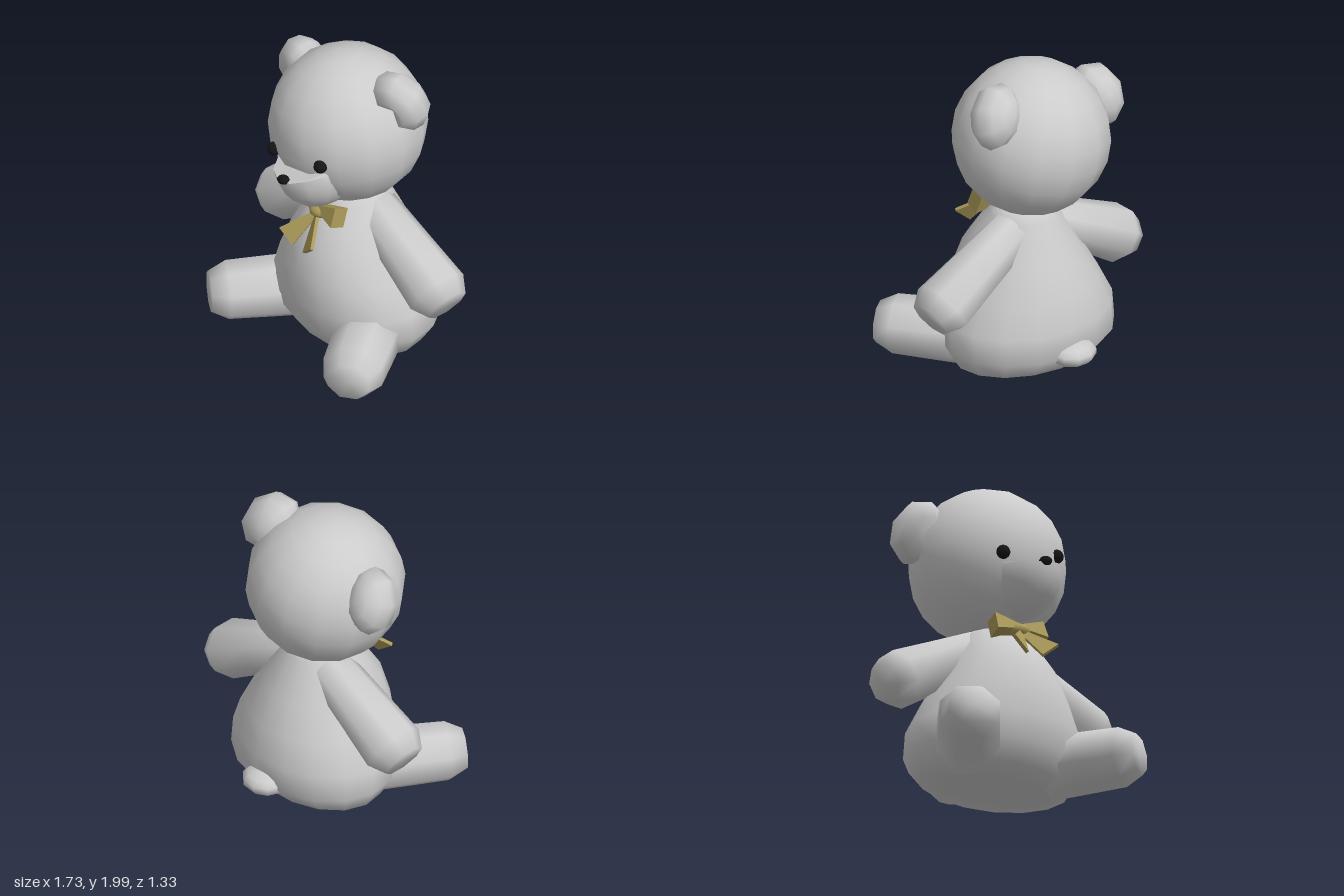
import * as THREE from 'three';
import { mergeVertices, toCreasedNormals } from 'three/addons/utils/BufferGeometryUtils.js';

const grey = new THREE.MeshStandardMaterial({ color: 0xcccccc });
const black = new THREE.MeshStandardMaterial({ color: 0x151515 });
const gold = new THREE.MeshStandardMaterial({ color: 0xa89858 });
const V = (x, y, z) => new THREE.Vector3(x, y, z);

function add(parent, name, geometry, material, position = [0, 0, 0]) {
  const mesh = new THREE.Mesh(geometry, material);
  mesh.name = name;
  mesh.position.set(...position);
  parent.add(mesh);
  return mesh;
}

// Move every vertex by a rule, then weld seams and smooth the normals
function reshape(geometry, rule) {
  const p = geometry.attributes.position, v = V(0, 0, 0);
  for (let i = 0; i < p.count; i++) {
    v.fromBufferAttribute(p, i);
    rule(v, i);
    p.setXYZ(i, v.x, v.y, v.z);
  }
  geometry.deleteAttribute('normal');
  geometry.deleteAttribute('uv');
  const welded = mergeVertices(geometry, 1e-4);
  welded.computeVertexNormals();
  return welded;
}

// Pear-shaped torso: height, half width, front z, back z
function bodyGeometry() {
  const rings = [
    [0, 0, -0.1, -0.1], [0, 0.36, 0.12, -0.24], [0.05, 0.5, 0.26, -0.47],
    [0.18, 0.575, 0.35, -0.58], [0.35, 0.57, 0.38, -0.57], [0.55, 0.47, 0.37, -0.525],
    [0.75, 0.365, 0.32, -0.43], [0.9, 0.28, 0.22, -0.36], [1.0, 0.22, 0.12, -0.31],
    [1.06, 0.17, 0.06, -0.28], [1.06, 0, -0.1, -0.1],
  ];
  const lathe = new THREE.LatheGeometry(rings.map(([y, w]) => new THREE.Vector2(w, y)), 16);
  return reshape(lathe, (v, i) => {
    const [, w, front, back] = rings[i % rings.length];
    v.z = (front + back) / 2 + (w ? (v.z / w) * (front - back) / 2 : 0);
  });
}

// Eight-sided limb with a bevelled, blunt end
function limb(parent, name, from, to, r0, r1, rEnd) {
  const dir = to.clone().sub(from), len = dir.length();
  dir.normalize();
  const profile = [[0, 0], [r0, 0], [(r0 + r1) / 2, len * 0.45], [r1, len - 0.11], [rEnd, len], [0, len]];
  const lathe = new THREE.LatheGeometry(profile.map(([r, y]) => new THREE.Vector2(r, y)), 8, Math.PI / 8);
  // Basis: y along the limb, x horizontal, z the slightly flattened side
  const side = V(0, 1, 0).cross(dir).normalize();
  const basis = new THREE.Matrix4().makeBasis(side, dir, side.clone().cross(dir));
  add(parent, name, reshape(lathe, (v) => {
    v.z *= 0.92;
    v.applyMatrix4(basis).add(from);
  }), grey);
}

// Box that widens along +x from its start at the origin
function taperedBox(length, h0, h1, depth) {
  const g = new THREE.BoxGeometry(length, 1, depth).translate(length / 2, 0, 0);
  return toCreasedNormals(reshape(g, (v) => {
    v.y *= THREE.MathUtils.lerp(h0, h1, v.x / length);
  }), 0.3);
}

function makeHead() {
  const head = new THREE.Group();
  head.name = 'head';
  head.position.set(-0.06, 1.49, -0.075);
  head.rotation.set(0, 0.13, 0.2, 'ZYX');
  add(head, 'skull', reshape(new THREE.SphereGeometry(0.495, 14, 11), () => {}), grey);

  // Bowl-shaped muzzle with a flat top that slopes forward and a chin that runs into the skull
  const muzzle = new THREE.SphereGeometry(1, 14, 12).scale(0.245, 0.295, 0.3);
  add(head, 'muzzle', toCreasedNormals(reshape(muzzle, (v) => {
    v.y = Math.min(v.y, 0.06 - 0.3 * v.z);
  }), 0.7), grey, [0, -0.145, 0.28]);
  add(head, 'nose', new THREE.SphereGeometry(1, 10, 8).scale(0.045, 0.03, 0.035), black, [-0.01, -0.165, 0.565]);

  for (const s of [1, -1]) {
    add(head, s > 0 ? 'leftEye' : 'rightEye', new THREE.SphereGeometry(0.044, 12, 8), black, [s * 0.21 - 0.01, -0.07, 0.432]);

    // Thick ear: x points away from the skull, front is slightly dented
    const ear = new THREE.SphereGeometry(1, 8, 6).rotateX(Math.PI / 2).scale(0.175, 0.215, 0.15);
    const geometry = reshape(ear, (v) => {
      if (v.z > 0.14) v.z = 0.09;
    });
    const mesh = add(head, s > 0 ? 'leftEar' : 'rightEar', geometry, grey, [s * 0.435, 0.235, -0.075]);
    const lift = 0.45;
    mesh.rotation.set(s * 0.4, 0, s > 0 ? lift : Math.PI - lift, 'ZYX');
  }
  return head;
}

function makeBow() {
  const bow = new THREE.Group();
  bow.name = 'bow';
  bow.position.set(0.015, 0.975, 0.19);
  add(bow, 'knot', new THREE.SphereGeometry(1, 10, 8).scale(0.07, 0.045, 0.06), gold, [0, 0, 0.01]);
  for (const s of [1, -1]) {
    const loop = add(bow, s > 0 ? 'leftLoop' : 'rightLoop', taperedBox(0.175, 0.03, 0.13, 0.1), gold, [0, 0.01, -0.015]);
    loop.rotation.set(-s * 0.35, 0, s > 0 ? 0.1 : Math.PI - 0.03, 'ZYX');

    // Hanging ribbon tail, leaning out over the belly and turned to the side
    const dir = V(s > 0 ? 0.125 : -0.095, -0.17, 0.17).normalize();
    const normal = dir.clone().cross(V(s * 0.09, 0.1, 0)).normalize();
    const tail = add(bow, s > 0 ? 'leftRibbon' : 'rightRibbon', taperedBox(0.26, 0.03, 0.135, 0.022), gold, [0, -0.01, 0.02]);
    tail.quaternion.setFromRotationMatrix(
      new THREE.Matrix4().makeBasis(dir, normal.clone().cross(dir), normal));
  }
  return bow;
}

export function createModel() {
  const bear = new THREE.Group();
  bear.name = 'teddyBear';
  add(bear, 'body', bodyGeometry(), grey);
  bear.add(makeHead(), makeBow());

  limb(bear, 'leftArm', V(0.12, 0.92, -0.14), V(0.8, 0.535, -0.2), 0.15, 0.2, 0.14);
  limb(bear, 'rightArm', V(-0.12, 0.92, -0.11), V(-0.8, 0.535, -0.05), 0.15, 0.2, 0.14);
  limb(bear, 'leftLeg', V(0.3, 0.185, 0), V(0.7, 0.185, 0.48), 0.215, 0.2, 0.14);
  limb(bear, 'rightLeg', V(-0.27, 0.185, 0.05), V(-0.565, 0.185, 0.61), 0.215, 0.2, 0.14);

  // Stubby tail
  const tail = new THREE.SphereGeometry(1, 10, 7).scale(0.155, 0.08, 0.15);
  add(bear, 'tail', reshape(tail, () => {}), grey, [-0.04, 0.185, -0.525]);
  return bear;
}
